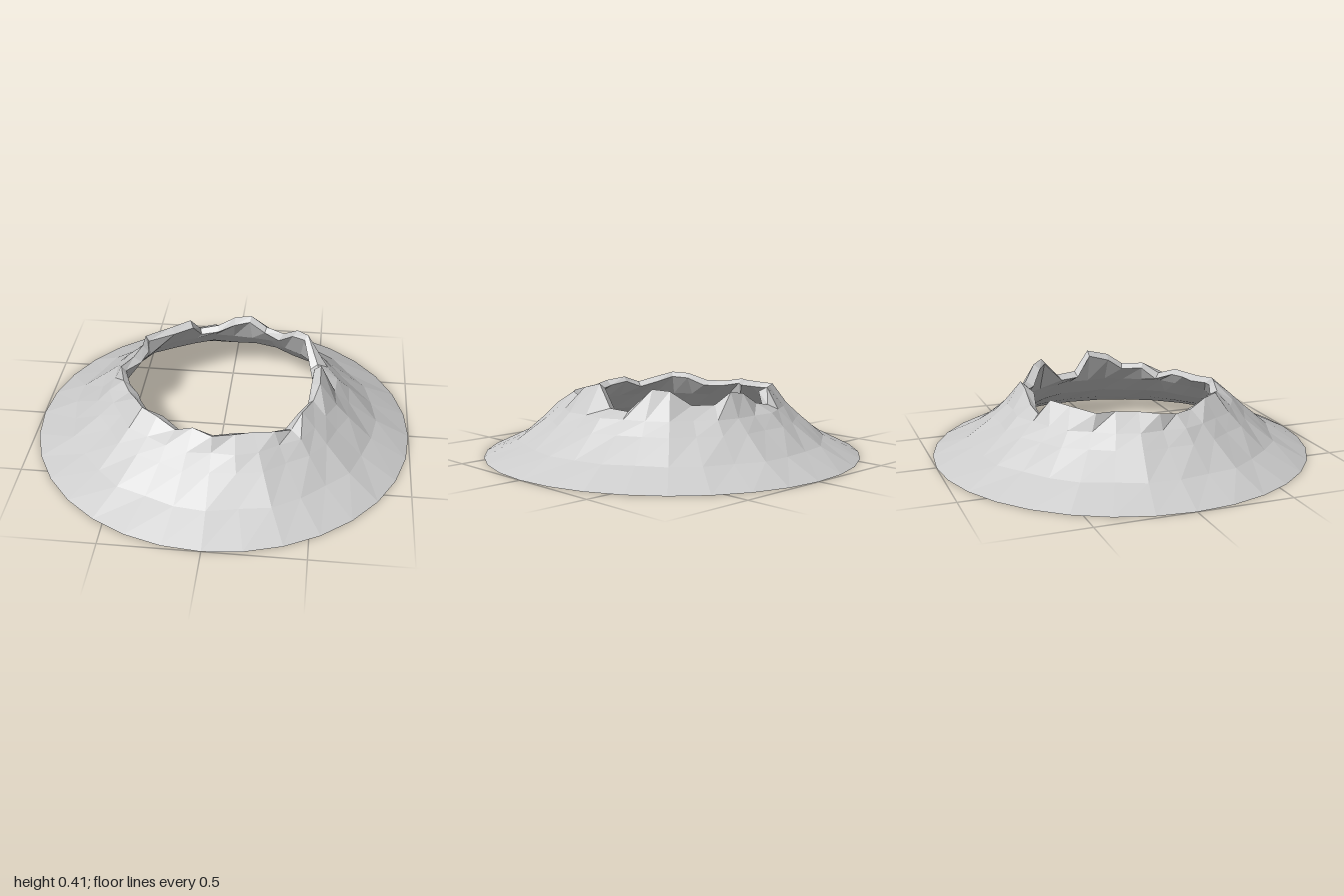
import * as THREE from 'three';

// Jagged crest, one [x, z, height] per column, running from +x towards +z
const CREST = [
  [0.51, -0.01, 0.415], [0.51, 0.11, 0.385], [0.48, 0.19, 0.33], [0.43, 0.3, 0.335],
  [0.38, 0.38, 0.28], [0.3, 0.45, 0.315], [0.2, 0.47, 0.32], [0.11, 0.5, 0.32],
  [0, 0.54, 0.33], [-0.1, 0.5, 0.345], [-0.19, 0.48, 0.31], [-0.29, 0.42, 0.34],
  [-0.37, 0.38, 0.36], [-0.42, 0.3, 0.355], [-0.47, 0.2, 0.32], [-0.52, 0.1, 0.32],
  [-0.55, 0, 0.34], [-0.5, -0.09, 0.345], [-0.47, -0.2, 0.35], [-0.47, -0.3, 0.35],
  [-0.34, -0.39, 0.36], [-0.24, -0.46, 0.37], [-0.19, -0.51, 0.29], [-0.09, -0.52, 0.31],
  [0.01, -0.52, 0.37], [0.1, -0.52, 0.385], [0.19, -0.5, 0.33], [0.29, -0.44, 0.33],
  [0.37, -0.37, 0.4], [0.43, -0.31, 0.41], [0.49, -0.2, 0.295], [0.51, -0.09, 0.3],
];
const N = CREST.length;

// Rings of the shell as [radius, height], below the crest on each side
const OUTER = [[1, 0], [0.81, 0.09], [0.67, 0.2], [0.6, 0.265]];
const INNER = [[0.55, 0.23], [0.63, 0.14], [0.76, 0.06], [0.9, 0]];

// Cross-section of the shell at column k, from outer foot over the crest to inner foot
function section(k) {
  const [x, z, h] = CREST[k];
  const a = (k / N) * Math.PI * 2;
  const onRing = ([r, y], i) => {
    const w = y > 0 ? 0.012 * Math.sin(k * 2.3 + r * 9) : 0;
    return [Math.cos(a) * (r + w), y, Math.sin(a) * (r + w)];
  };
  const lip = 1 - (0.035 + 0.012 * Math.sin(k * 1.9)) / Math.hypot(x, z);
  return [
    ...OUTER.map(onRing),
    [x, h, z],
    [x * lip, h - 0.025, z * lip],
    ...INNER.map(onRing),
  ];
}

export function createModel() {
  const positions = [];
  const index = [];
  const M = OUTER.length + INNER.length + 2;
  for (let k = 0; k < N; k++) {
    for (const p of section(k)) positions.push(...p);
    for (let j = 0; j < M; j++) {
      const a = k * M + j, b = k * M + ((j + 1) % M);
      const next = ((k + 1) % N) * M;
      const c = next + j, d = next + ((j + 1) % M);
      index.push(a, b, c, c, b, d);
    }
  }
  const geometry = new THREE.BufferGeometry();
  geometry.setAttribute('position', new THREE.Float32BufferAttribute(positions, 3));
  geometry.setIndex(index);
  geometry.computeVertexNormals();

  const crater = new THREE.Mesh(
    geometry,
    new THREE.MeshStandardMaterial({ color: 0xcccccc, flatShading: true }),
  );
  crater.name = 'craterWall';
  const group = new THREE.Group();
  group.name = 'crater';
  group.add(crater);
  return group;
}
